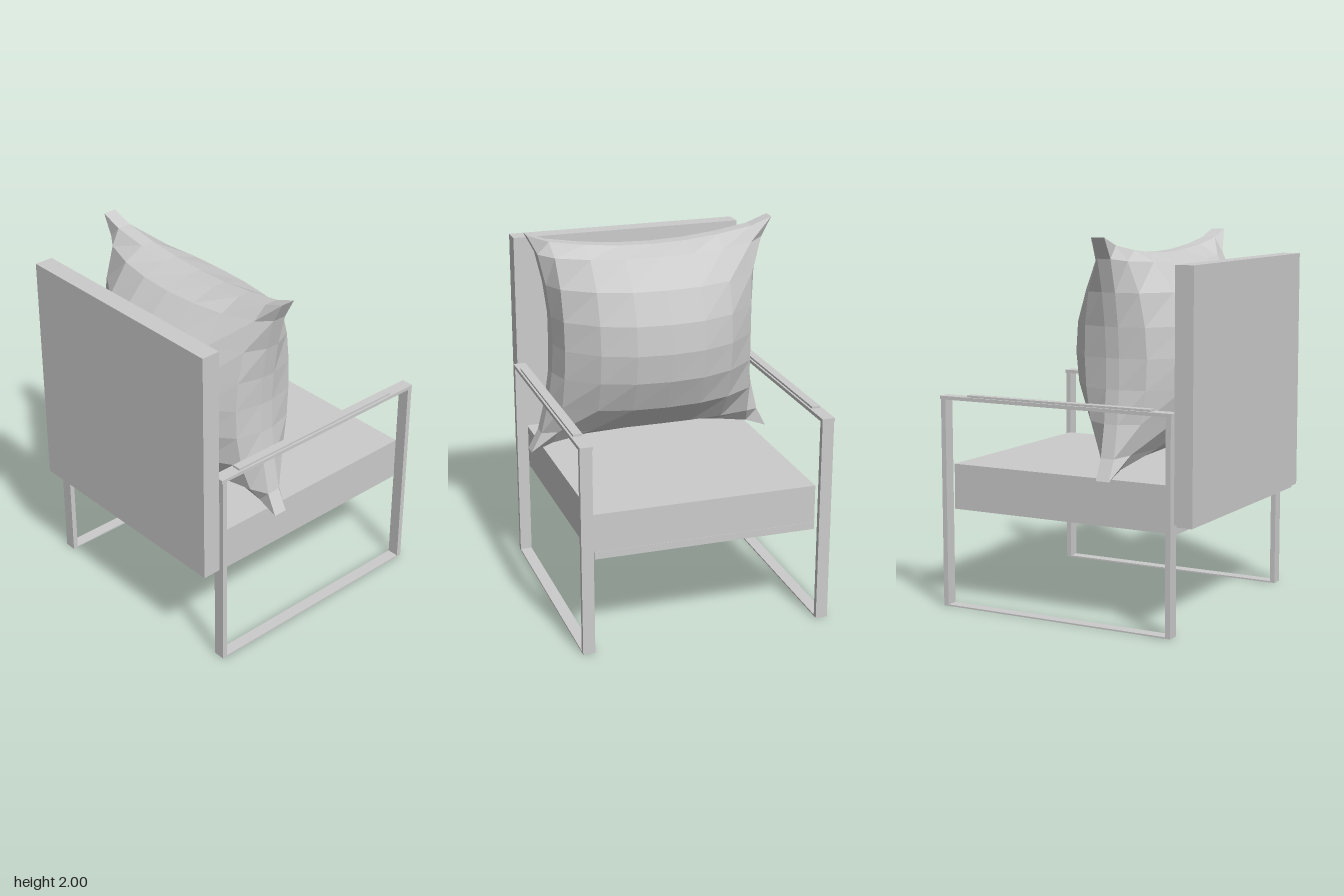
import * as THREE from 'three';

export function createModel() {
  const chair = new THREE.Group();
  chair.name = 'armchair';
  const material = new THREE.MeshStandardMaterial({ color: 0xcccccc, flatShading: true });

  // Box given by its extents along each axis
  function box(parent, name, [x0, x1], [y0, y1], [z0, z1]) {
    const mesh = new THREE.Mesh(new THREE.BoxGeometry(x1 - x0, y1 - y0, z1 - z0), material);
    mesh.position.set((x0 + x1) / 2, (y0 + y1) / 2, (z0 + z1) / 2);
    mesh.name = name;
    parent.add(mesh);
  }

  // Side frames: two legs, flat floor strip, armrest with a pad
  for (const side of [1, -1]) {
    const frame = new THREE.Group();
    frame.name = side > 0 ? 'leftSideFrame' : 'rightSideFrame';
    const z = side > 0 ? [0.612, 0.677] : [-0.69, -0.625];
    const armZ = side > 0 ? [0.608, 0.677] : [-0.692, -0.623];
    box(frame, 'backLeg', [-0.64, -0.612], [0, 1.126], z);
    box(frame, 'frontLeg', [0.704, 0.732], [0, 1.126], z);
    box(frame, 'floorStrip', [-0.612, 0.704], [0, 0.008], z);
    box(frame, 'armrest', [-0.645, 0.735], [1.126, 1.145], armZ);
    box(frame, 'armPad', [-0.52, 0.57], [1.145, 1.156], [armZ[0] + 0.011, armZ[1] - 0.011]);
    chair.add(frame);
  }

  // Seat cushion on a low rail frame
  box(chair, 'seatCushion', [-0.645, 0.708], [0.56, 0.767], [-0.607, 0.61]);
  box(chair, 'frontSeatRail', [0.66, 0.71], [0.52, 0.56], [-0.607, 0.602]);
  box(chair, 'backSeatRail', [-0.63, -0.58], [0.52, 0.56], [-0.607, 0.602]);
  box(chair, 'leftSeatRail', [-0.58, 0.66], [0.52, 0.56], [0.552, 0.602]);
  box(chair, 'rightSeatRail', [-0.58, 0.66], [0.52, 0.56], [-0.607, -0.557]);

  // Upright back panel with a narrow foot
  box(chair, 'backPanel', [-0.747, -0.645], [0.58, 1.875], [-0.66, 0.655]);
  box(chair, 'backPanelFoot', [-0.73, -0.645], [0.563, 0.58], [-0.63, 0.625]);

  // Plump pillow: a gridded box with bulging faces, drawn-out corners and a thin rim
  const bulge = [1, 0.95, 0.76, 0.38, 0];
  const across = [0, 0.19, 0.37, 0.53, 0.56];
  const upward = [0, 0.16, 0.33, 0.475, 0.515];
  const pillow = new THREE.BoxGeometry(2, 2, 2, 1, 8, 8);
  const p = pillow.attributes.position;
  for (let i = 0; i < p.count; i++) {
    const s = Math.sign(p.getX(i)), v = p.getY(i), u = p.getZ(i);
    const iu = Math.round(Math.abs(u) * 4), iv = Math.round(Math.abs(v) * 4);
    const half = 0.038 + 0.377 * bulge[iu] * bulge[iv];
    p.setXYZ(
      i,
      s * half + 0.012 * v,
      Math.sign(v) * (upward[iv] + 0.1 * u * u * v ** 4),
      Math.sign(u) * (across[iu] + 0.13 * v * v * u ** 4)
    );
  }
  pillow.computeVertexNormals();
  const pillowMesh = new THREE.Mesh(pillow, material);
  pillowMesh.name = 'pillow';
  pillowMesh.position.set(-0.24, 1.385, 0);
  chair.add(pillowMesh);

  return chair;
}
